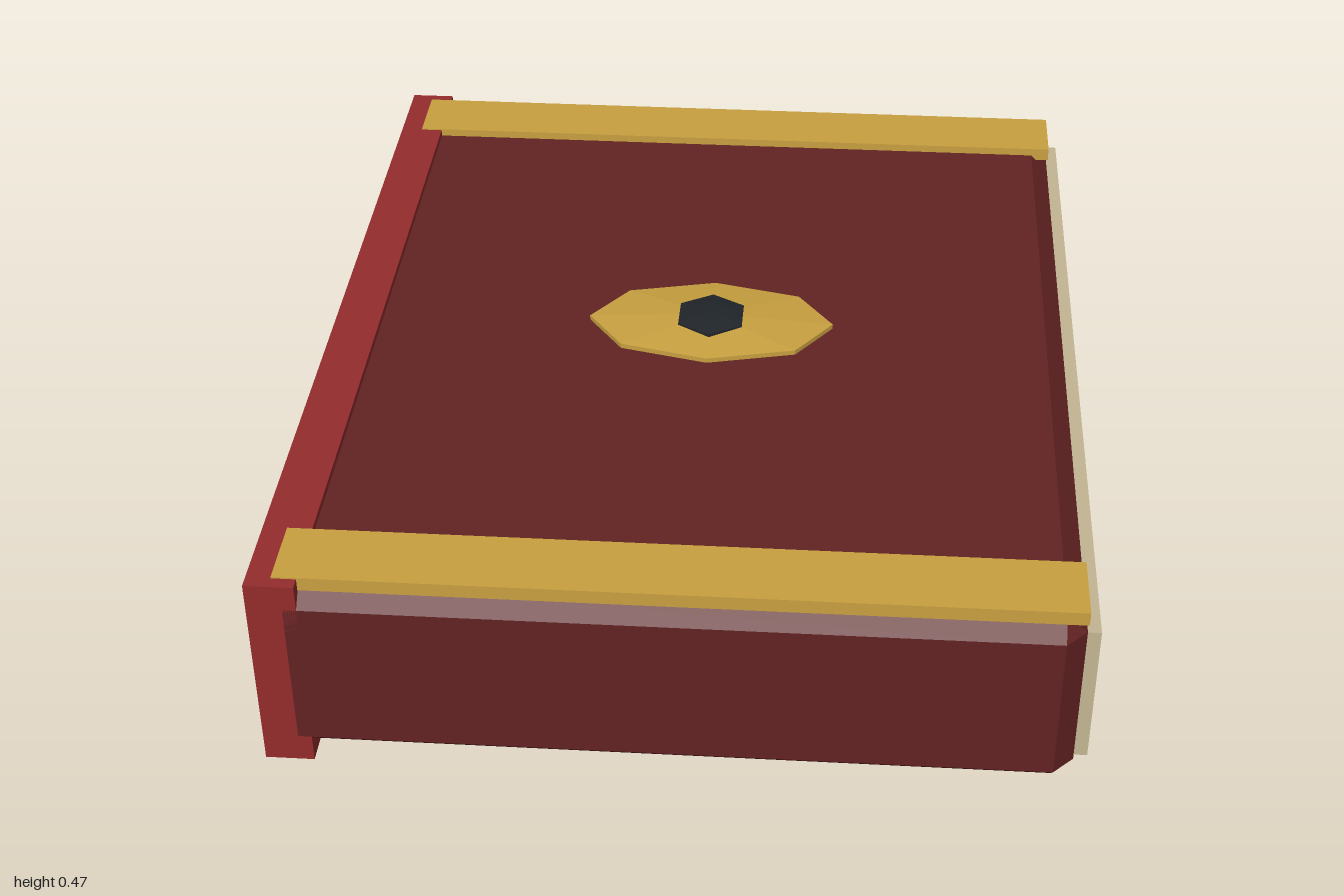
import * as THREE from 'three';
import { ConvexGeometry } from 'three/addons/geometries/ConvexGeometry.js';

const mat = (name, color) => {
  const m = new THREE.MeshStandardMaterial({ color });
  m.name = name;
  m.flatShading = true;
  return m;
};

// Box with every edge and corner cut off by c
function chamferedBox(w, h, d, c) {
  const points = [];
  for (const x of [-w / 2, w / 2])
    for (const y of [-h / 2, h / 2])
      for (const z of [-d / 2, d / 2]) {
        const [ix, iy, iz] = [x, y, z].map((v) => v - Math.sign(v) * c);
        points.push(
          new THREE.Vector3(x, iy, iz),
          new THREE.Vector3(ix, y, iz),
          new THREE.Vector3(ix, iy, z)
        );
      }
  return new ConvexGeometry(points);
}

// Faceted dome from a radius/height profile, stretched along x
function facetedDome(profile, sides, stretch) {
  const pts = profile.map(([r, y]) => new THREE.Vector2(r, y));
  return new THREE.LatheGeometry(pts, sides).scale(stretch, 1, 1);
}

export function createModel() {
  const model = new THREE.Group();
  model.name = 'book';

  const leather = mat('dark red leather', 0x622222);
  const spineRed = mat('spine red', 0x942c2c);
  const gold = mat('gold', 0xc8a040);
  const paper = mat('paper', 0xc4b693);
  const gemBlack = mat('black gem', 0x20252a);

  const add = (name, geometry, material, x, y, z) => {
    const mesh = new THREE.Mesh(geometry, material);
    mesh.name = name;
    mesh.position.set(x, y, z);
    model.add(mesh);
  };

  // Cover, spine and page block
  add('cover', chamferedBox(1.6, 0.415, 2, 0.042), leather, 0, 0.2275, 0);
  add('spine', new THREE.BoxGeometry(0.1, 0.45, 2), spineRed, -0.78, 0.225, 0);
  add('pages', new THREE.BoxGeometry(0.13, 0.32, 1.9), paper, 0.763, 0.226, 0);

  // Gold bands across the cover
  for (const side of [1, -1])
    add(side > 0 ? 'frontBand' : 'backBand',
      new THREE.BoxGeometry(1.58, 0.03, 0.155), gold, 0.01, 0.438, side * 0.896);

  // Stretched eight-sided emblem with a six-sided gem
  add('emblem', facetedDome([[0.155, 0.425], [0.155, 0.446], [0, 0.463]], 8, 0.273 / 0.155),
    gold, 0.01, 0, 0);
  add('gem', facetedDome([[0.082, 0.45], [0.082, 0.461], [0.04, 0.469], [0, 0.471]], 6, 1),
    gemBlack, 0.01, 0, 0);

  return model;
}
